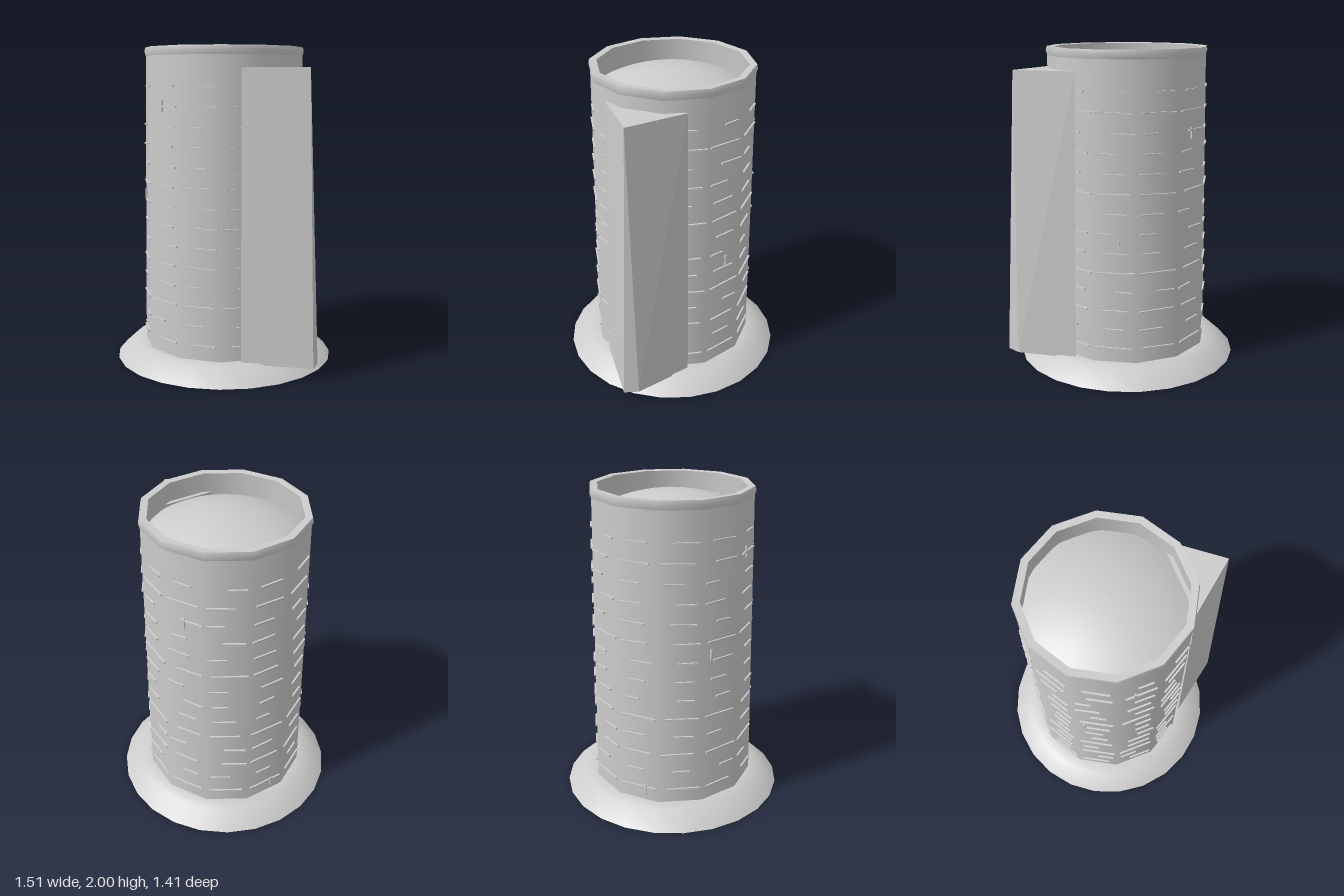
import * as THREE from 'three';
import { ConvexGeometry } from 'three/addons/geometries/ConvexGeometry.js';

const CX = -0.055; // tower axis

export function createModel() {
  const model = new THREE.Group();
  const stone = new THREE.MeshStandardMaterial({ color: 0xcccccc, side: THREE.DoubleSide });
  stone.name = 'pale stone';

  function add(name, geometry, parent = model) {
    const mesh = new THREE.Mesh(geometry, stone);
    mesh.name = name;
    parent.add(mesh);
    return mesh;
  }
  function lathe(name, profile, sides) {
    const points = profile.map(([r, y]) => new THREE.Vector2(r, y));
    const mesh = add(name, new THREE.LatheGeometry(points, sides, Math.PI / 12));
    mesh.position.x = CX;
    return mesh;
  }

  // Sloping ground collar
  lathe('footing', [[0.705, 0], [0.595, 0.1], [0.5, 0.1]], 24);

  // Twelve-sided tapering shaft, rim and inner wall
  const bottomR = 0.523, topR = 0.499;
  lathe('shaft', [[bottomR, 0.1], [topR, 1.95]], 12);
  lathe('shaftFloor', [[0, 0.1], [bottomR, 0.1]], 12);
  lathe('rimOuter', [[topR, 1.945], [0.508, 1.975], [0.502, 2]], 12);
  lathe('rimTop', [[0.502, 2], [0.458, 1.997]], 12);
  lathe('innerWall', [[0.458, 1.997], [0.47, 1.8]], 12);

  // Shallow domed roof set inside the rim
  const dome = [];
  for (let i = 0; i <= 8; i++) {
    const a = (0.48 * (8 - i)) / 8;
    dome.push([Math.sin(a), 0.96 + Math.cos(a)]);
  }
  lathe('domedRoof', dome, 32);

  // Square plug under the floor
  add('underPlug', new THREE.BoxGeometry(0.56, 0.09, 0.56)).position.set(CX, 0.055, 0);

  // Wedge-shaped buttress on the left side
  const corners = [
    [0.37, 1.87, 0.25], [0.37, 1.87, -0.25], [0.68, 1.87, 0],
    [0.4, 0.09, 0.28], [0.4, 0.09, -0.28], [0.755, 0.09, 0.02], [0.715, 0.09, -0.065],
  ].map((p) => new THREE.Vector3(...p));
  add('buttress', new ConvexGeometry(corners));

  // Thin protruding mortar ridges, one on most facets of each course
  let seed = 7;
  const rand = () => (seed = (seed * 16807) % 2147483647) / 2147483647;
  const ridges = new THREE.Group();
  ridges.name = 'mortarRidges';
  ridges.position.x = CX;
  model.add(ridges);
  function ridge(name, facet, y, offset, width, height) {
    const pivot = new THREE.Group();
    pivot.rotation.y = (facet * Math.PI) / 6;
    ridges.add(pivot);
    const r = THREE.MathUtils.mapLinear(y, 0.1, 1.95, bottomR, topR) * Math.cos(Math.PI / 12);
    const mesh = add(name, new THREE.BoxGeometry(width, height, 0.022), pivot);
    mesh.position.set(offset, y, r);
    mesh.rotation.z = (rand() - 0.5) * 0.06;
  }
  for (let row = 0; row < 14; row++) {
    const y = 0.19 + row * 0.1208;
    const longCourse = row % 4 === 0 || row === 2;
    for (let facet = 0; facet < 12; facet++) {
      if (facet === 3) continue; // hidden behind the buttress
      const width = longCourse ? 0.15 + rand() * 0.09 : 0.09 + rand() * 0.07;
      const offset = (rand() - 0.5) * (0.25 - width);
      ridge('ridge', facet, y, offset, width, 0.01);
    }
  }

  // A few upright cracks
  for (const [facet, y, offset] of [
    [0, 1.64, -0.02], [11, 1.07, -0.07], [2, 0.65, -0.03], [5, 0.84, 0.02], [9, 0.17, 0.05], [7, 1.5, 0],
  ]) ridge('crack', facet, y, offset, 0.012, 0.07);

  return model;
}
